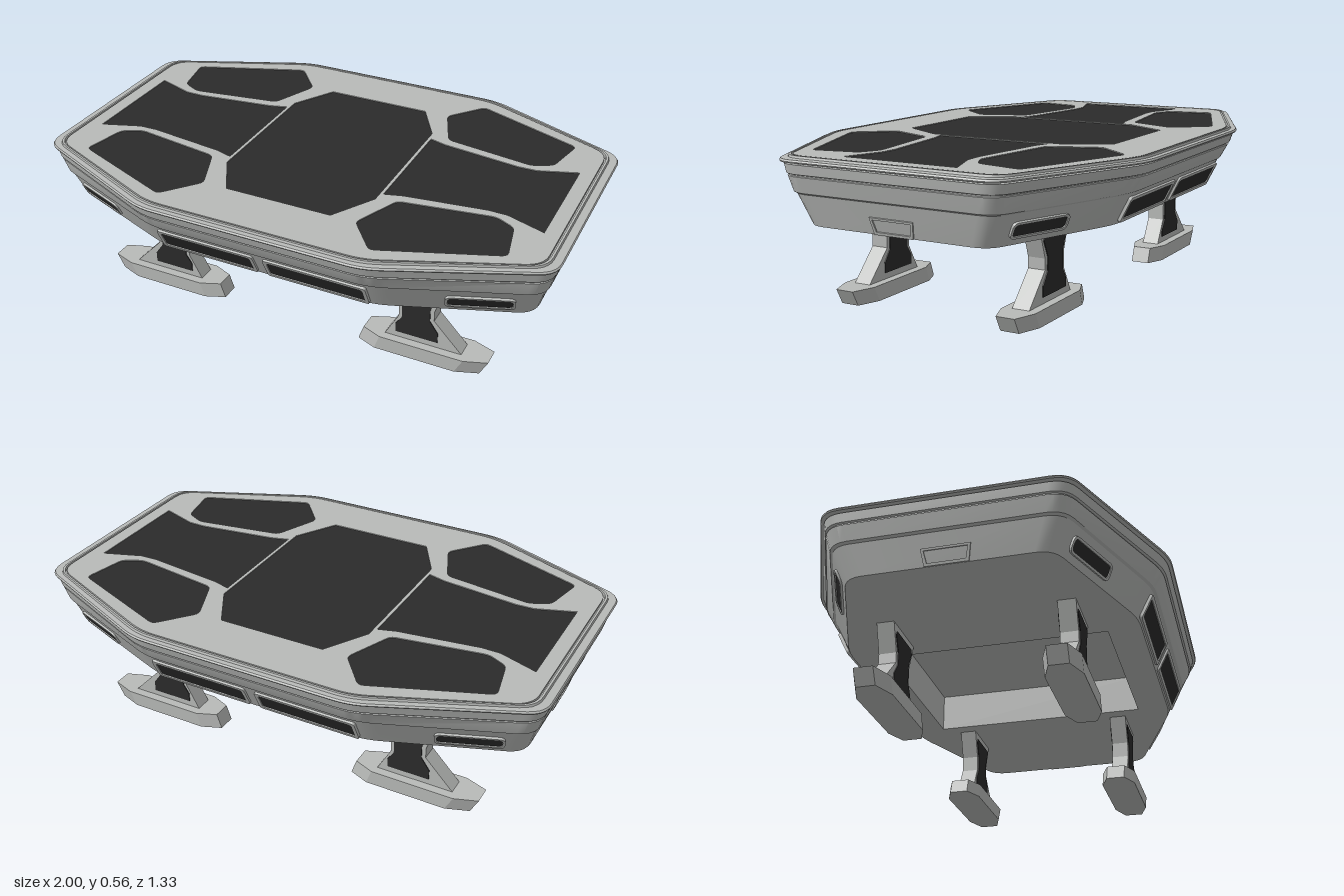
import * as THREE from 'three';
import { toCreasedNormals } from 'three/addons/utils/BufferGeometryUtils.js';

const lightGrey = new THREE.MeshStandardMaterial({ color: 0xb8bab8 });
lightGrey.name = 'light grey';
const charcoal = new THREE.MeshStandardMaterial({ color: 0x2b2b2b });
charcoal.name = 'charcoal';

const V2 = (x, y) => new THREE.Vector2(x, y);

function add(parent, name, geometry, material) {
  const mesh = new THREE.Mesh(geometry, material);
  mesh.name = name;
  parent.add(mesh);
  return mesh;
}

// Polygon from [x, y] pairs, optionally mirrored
const poly = (pts, sx = 1, sy = 1) => pts.map(([x, y]) => V2(x * sx, y * sy));

// Replaces every corner of a closed polygon with a short curve
function rounded(pts, r, steps = 5) {
  const out = [];
  pts.forEach((p, i) => {
    const prev = pts[(i + pts.length - 1) % pts.length];
    const next = pts[(i + 1) % pts.length];
    const a = p.clone().add(prev.clone().sub(p).setLength(r));
    const b = p.clone().add(next.clone().sub(p).setLength(r));
    out.push(...new THREE.QuadraticBezierCurve(a, p, b).getPoints(steps));
  });
  return out;
}

// Eight-sided plan: half sizes hx, hz and corner positions cx, cz
function octagon(hx, hz, cx, cz, r = 0.06) {
  return rounded(poly([
    [hx, -cz], [hx, cz], [cx, hz], [-cx, hz],
    [-hx, cz], [-hx, -cz], [-cx, -hz], [cx, -hz],
  ]), r);
}

// Skin through plan sections stacked in y
function loft(sections) {
  const pos = [];
  for (let k = 0; k + 1 < sections.length; k++) {
    const [lo, hi] = [sections[k], sections[k + 1]];
    const n = lo.pts.length;
    for (let i = 0; i < n; i++) {
      const j = (i + 1) % n;
      const a = [lo.pts[i].x, lo.y, lo.pts[i].y], b = [lo.pts[j].x, lo.y, lo.pts[j].y];
      const c = [hi.pts[i].x, hi.y, hi.pts[i].y], d = [hi.pts[j].x, hi.y, hi.pts[j].y];
      pos.push(...a, ...c, ...b, ...b, ...c, ...d);
    }
  }
  const g = new THREE.BufferGeometry();
  g.setAttribute('position', new THREE.Float32BufferAttribute(pos, 3));
  return toCreasedNormals(g, 0.3);
}

function shapeOf(pts, holes = []) {
  const s = new THREE.Shape(pts);
  holes.forEach((h) => s.holes.push(new THREE.Path(h)));
  return s;
}
const extrude = (shape, depth) => new THREE.ExtrudeGeometry(shape, { depth, bevelEnabled: false });
const rect = (w, h) => poly([[w / 2, -h / 2], [w / 2, h / 2], [-w / 2, h / 2], [-w / 2, -h / 2]]);

// Group lying on a sloping hull wall, its z axis pointing out of the wall
function onWall(parent, name, x, y, z, yaw, tilt) {
  const g = new THREE.Group();
  g.name = name;
  g.position.set(x, y, z);
  g.rotation.set(tilt, yaw, 0, 'YXZ');
  parent.add(g);
  return g;
}

// Raised frame around a dark grille
function vent(group, w, h, r, border) {
  const outer = rounded(rect(w, h), r);
  const inner = rounded(rect(w - 2 * border, h - 2 * border), r * 0.7);
  add(group, 'ventFrame', extrude(shapeOf(outer, [inner]), 0.014), lightGrey).position.z = -0.006;
  add(group, 'ventGrille', extrude(shapeOf(inner), 0.009), charcoal).position.z = -0.005;
}

function buildHull(root) {
  // half x, half z, corner x, corner z, height
  const profile = [
    [0.925, 0.54, 0.42, 0.35, 0.315],
    [0.955, 0.595, 0.425, 0.39, 0.425],
    [0.965, 0.605, 0.425, 0.395, 0.431],
    [0.98, 0.637, 0.425, 0.405, 0.487],
    [0.976, 0.633, 0.423, 0.403, 0.489],
    [0.976, 0.634, 0.423, 0.403, 0.493],
    [0.983, 0.643, 0.425, 0.408, 0.496],
    [0.988, 0.654, 0.425, 0.412, 0.529],
    [0.976, 0.642, 0.42, 0.405, 0.53],
    [0.976, 0.642, 0.42, 0.405, 0.534],
    [0.997, 0.664, 0.428, 0.42, 0.535],
    [1.0, 0.667, 0.43, 0.42, 0.54],
    [0.996, 0.663, 0.428, 0.418, 0.546],
    [0.968, 0.646, 0.42, 0.41, 0.547],
    [0.965, 0.643, 0.42, 0.41, 0.555],
    [0.957, 0.635, 0.418, 0.406, 0.555],
    [0.955, 0.633, 0.418, 0.406, 0.545],
    [0.94, 0.618, 0.414, 0.4, 0.545],
  ];
  const sections = profile.map(([hx, hz, cx, cz, y]) => ({ pts: octagon(hx, hz, cx, cz), y }));
  add(root, 'hull', loft(sections), lightGrey);

  // Underside with a rectangular well
  const well = rect(0.7, 0.84);
  const under = new THREE.ShapeGeometry(shapeOf(sections[0].pts, [well])).rotateX(Math.PI / 2);
  add(root, 'underside', under, lightGrey).position.y = 0.315;
  add(root, 'wellWalls', loft([{ pts: well, y: 0.465 }, { pts: well, y: 0.315 }]), lightGrey);
  const ceiling = new THREE.ShapeGeometry(shapeOf(well)).rotateX(Math.PI / 2);
  add(root, 'wellCeiling', ceiling, lightGrey).position.y = 0.465;
}

function buildDeck(root) {
  const centre = [[-0.3, -0.27], [-0.205, -0.435], [0.205, -0.435], [0.3, -0.27],
    [0.3, 0.27], [0.205, 0.435], [-0.205, 0.435], [-0.3, 0.27]];
  const side = [[0.895, -0.222], [0.895, 0.222], [0.75, 0.17], [0.68, 0.168],
    [0.38, 0.208], [0.312, 0.228], [0.312, -0.228], [0.38, -0.208], [0.68, -0.168], [0.75, -0.17]];
  const corner = [[0.83, 0.407], [0.41, 0.57], [0.3, 0.435], [0.375, 0.25],
    [0.72, 0.197], [0.795, 0.235]];
  const panels = [['centrePanel', poly(centre)]];
  for (const sx of [-1, 1]) {
    panels.push(['sidePanel', poly(side, sx)]);
    for (const sz of [-1, 1]) panels.push(['cornerPanel', rounded(poly(corner, sx, sz), 0.02, 3)]);
  }
  const outline = octagon(0.95, 0.628, 0.417, 0.404);
  const plate = extrude(shapeOf(outline, panels.map((p) => p[1])), 0.018).rotateX(-Math.PI / 2);
  add(root, 'deck', plate, lightGrey).position.y = 0.536;
  for (const [name, pts] of panels) {
    const g = new THREE.ShapeGeometry(shapeOf(pts)).rotateX(-Math.PI / 2);
    add(root, name, g, charcoal).position.y = 0.551;
  }
}

function buildWallDetails(root) {
  for (const sx of [-1, 1]) {
    for (const sz of [-1, 1]) {
      const back = sz < 0;
      vent(onWall(root, 'longVent', sx * 0.215, 0.368, sz * 0.5665, back ? Math.PI : 0, 0.4636),
        0.39, 0.1, 0.012, 0.014);
      const yaw = back ? Math.PI - sx * 0.362 : sx * 0.362;
      vent(onWall(root, 'cornerVent', sx * 0.76, 0.368, sz * 0.438, yaw, 0.43),
        0.235, 0.062, 0.022, 0.009);
    }
    // Hatch surround on each end wall
    const hatch = onWall(root, 'endHatch', sx * 0.933, 0.345, 0, sx * Math.PI / 2, 0.266);
    const outer = poly([[0.076, -0.03], [0.085, 0.031], [-0.085, 0.031], [-0.076, -0.03]]);
    const inner = poly([[0.066, -0.02], [0.075, 0.023], [-0.075, 0.023], [-0.066, -0.02]]);
    add(hatch, 'hatchFrame', extrude(shapeOf(outer, [inner]), 0.008), lightGrey).position.z = -0.003;
  }
}

function buildLeg(root, sx, sz) {
  const leg = new THREE.Group();
  leg.name = 'leg';
  leg.position.z = sz * 0.325;
  root.add(leg);

  // Hourglass strut with a dark inlay on both faces
  const strut = [[0.615, 0.325], [0.575, 0.21], [0.575, 0.17], [0.69, 0.05],
    [0.385, 0.05], [0.44, 0.15], [0.44, 0.21], [0.4, 0.325]];
  const inlay = [[0.58, 0.29], [0.588, 0.275], [0.56, 0.215], [0.56, 0.165], [0.592, 0.12], [0.592, 0.08],
    [0.43, 0.08], [0.43, 0.115], [0.453, 0.15], [0.453, 0.215], [0.428, 0.275], [0.435, 0.29]];
  add(leg, 'strut', extrude(shapeOf(poly(strut, sx)), 0.065), lightGrey).position.z = -0.0325;
  for (const face of [-1, 1]) {
    const g = extrude(shapeOf(poly(inlay, sx)), 0.004);
    add(leg, 'strutInlay', g, charcoal).position.z = face * 0.0335 - 0.002;
  }

  // Foot pad: toe undercut below, heel sloped above
  const plan = [[0.785, 0.035], [0.7, 0.065], [0.36, 0.065], [0.285, 0.035],
    [0.285, -0.035], [0.36, -0.065], [0.7, -0.065], [0.785, -0.035]];
  const foot = extrude(shapeOf(poly(plan, sx)), 0.057).rotateX(-Math.PI / 2);
  const p = foot.attributes.position;
  for (let i = 0; i < p.count; i++) {
    const x = Math.abs(p.getX(i)), top = p.getY(i) > 0.03;
    if (!top && x > 0.65) p.setX(i, sx * (x - 0.03));
    if (top && x < 0.4) p.setX(i, sx * (x + 0.02));
  }
  foot.computeVertexNormals();
  add(leg, 'foot', foot, lightGrey);
}

export function createModel() {
  const root = new THREE.Group();
  root.name = 'table';
  buildHull(root);
  buildDeck(root);
  buildWallDetails(root);
  for (const sx of [-1, 1]) for (const sz of [-1, 1]) buildLeg(root, sx, sz);
  return root;
}
